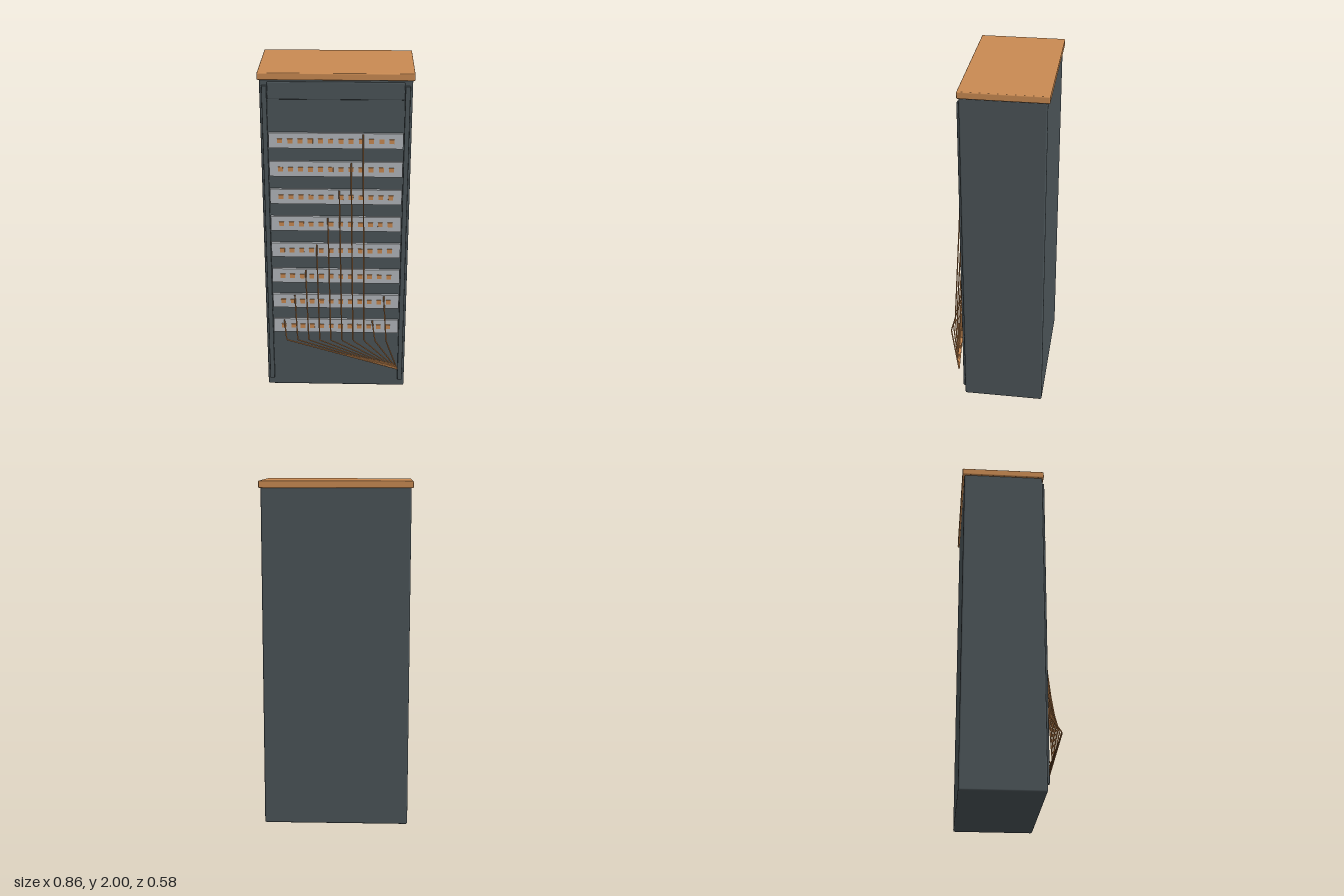
import * as THREE from 'three';
import { RoundedBoxGeometry } from 'three/addons/geometries/RoundedBoxGeometry.js';

const material = (name, color) => {
  const m = new THREE.MeshStandardMaterial({ color });
  m.name = name;
  return m;
};

export function createModel() {
  const steel = material('dark steel', 0x4b5458);
  const copper = material('copper', 0xc98a52);
  const silver = material('silver', 0xb4b8bc);
  const model = new THREE.Group();
  model.name = 'patchCabinet';

  // Rounded or plain box given by its centre and size
  const add = (parent, name, mat, [x, y, z], [w, h, d], r = 0) => {
    const geo = r ? new RoundedBoxGeometry(w, h, d, 3, r) : new THREE.BoxGeometry(w, h, d);
    const mesh = new THREE.Mesh(geo, mat);
    mesh.position.set(x, y, z);
    mesh.name = name;
    parent.add(mesh);
  };

  // Cabinet, lid and front trim
  add(model, 'cabinet', steel, [0, 0.982, -0.047], [0.84, 1.964, 0.47], 0.01);
  add(model, 'lid', copper, [0, 1.98, -0.049], [0.862, 0.04, 0.49], 0.006);
  add(model, 'topFascia', steel, [0, 1.9, 0.184], [0.755, 0.1, 0.02], 0.006);
  for (const side of [-1, 1])
    add(model, side < 0 ? 'rightRail' : 'leftRail', steel, [0.393 * side, 0.99, 0.19], [0.028, 1.88, 0.02], 0.003);

  // Patch panels, each with a row of ports
  const rowY = (row) => 0.43 + row * 0.1693;
  for (let row = 0; row < 8; row++) {
    const panel = new THREE.Group();
    panel.name = 'patchPanel';
    panel.position.y = rowY(row);
    add(panel, 'panelPlate', silver, [0, 0, 0.193], [0.75, 0.09, 0.02]);
    for (let i = 0; i < 12; i++)
      add(panel, 'port', copper, [(i - 5.5) * 0.0568, 0, 0.203], [0.028, 0.026, 0.014]);
    model.add(panel);
  }

  // Cables drop from the panels, bend, and gather at the lower left
  const gather = new THREE.Vector3(0.375, 0.148, 0.232);
  for (let i = 0; i < 10; i++) {
    const x = -0.31 + i * 0.066;
    const start = new THREE.Vector3(x, rowY(i % 8) + 0.045, 0.214);
    const bend = new THREE.Vector3(x + 0.018, 0.38, 0.287);
    const path = new THREE.CurvePath();
    path.add(new THREE.LineCurve3(start, bend));
    path.add(new THREE.LineCurve3(bend, gather));
    const cable = new THREE.Mesh(new THREE.TubeGeometry(path, 80, 0.004, 6), copper);
    cable.name = 'cable';
    model.add(cable);
  }
  return model;
}
